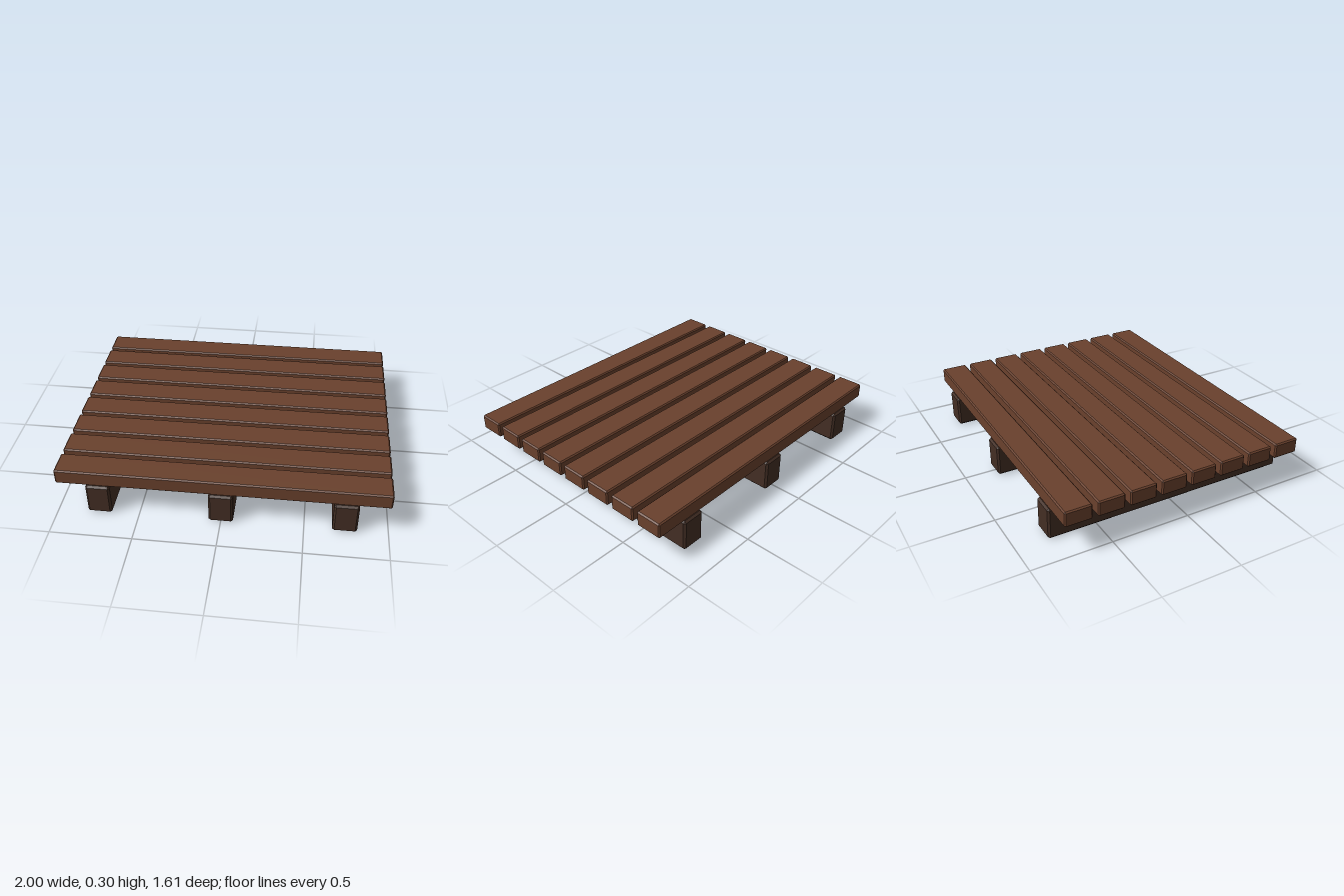
import * as THREE from 'three';
import { ConvexGeometry } from 'three/addons/geometries/ConvexGeometry.js';

// Box with every edge cut by a flat chamfer
function chamferBox(w, h, d, c) {
  const points = [];
  const half = [w / 2, h / 2, d / 2];
  for (const sx of [-1, 1]) for (const sy of [-1, 1]) for (const sz of [-1, 1]) {
    for (let axis = 0; axis < 3; axis++) {
      const [x, y, z] = half.map((v, i) => (i === axis ? v : v - c));
      points.push(new THREE.Vector3(sx * x, sy * y, sz * z));
    }
  }
  return new ConvexGeometry(points);
}

export function createModel() {
  const model = new THREE.Group();
  model.name = 'pallet';

  const plankWood = new THREE.MeshStandardMaterial({ color: 0x6a412d });
  plankWood.name = 'brown plank wood';
  const beamWood = new THREE.MeshStandardMaterial({ color: 0x432e24 });
  beamWood.name = 'dark beam wood';

  // Three support beams running front to back
  const beamGeometry = chamferBox(0.148, 0.203, 1.606, 0.012);
  for (let i = 0; i < 3; i++) {
    const beam = new THREE.Mesh(beamGeometry, beamWood);
    beam.name = `beam${i + 1}`;
    beam.position.set((i - 1) * 0.741, 0.1015, 0);
    model.add(beam);
  }

  // Eight deck planks laid across the beams
  const plankGeometry = chamferBox(2, 0.097, 0.168, 0.008);
  for (let i = 0; i < 8; i++) {
    const plank = new THREE.Mesh(plankGeometry, plankWood);
    plank.name = `plank${i + 1}`;
    plank.position.set(0, 0.248, (i - 3.5) * 0.2015);
    model.add(plank);
  }

  return model;
}
